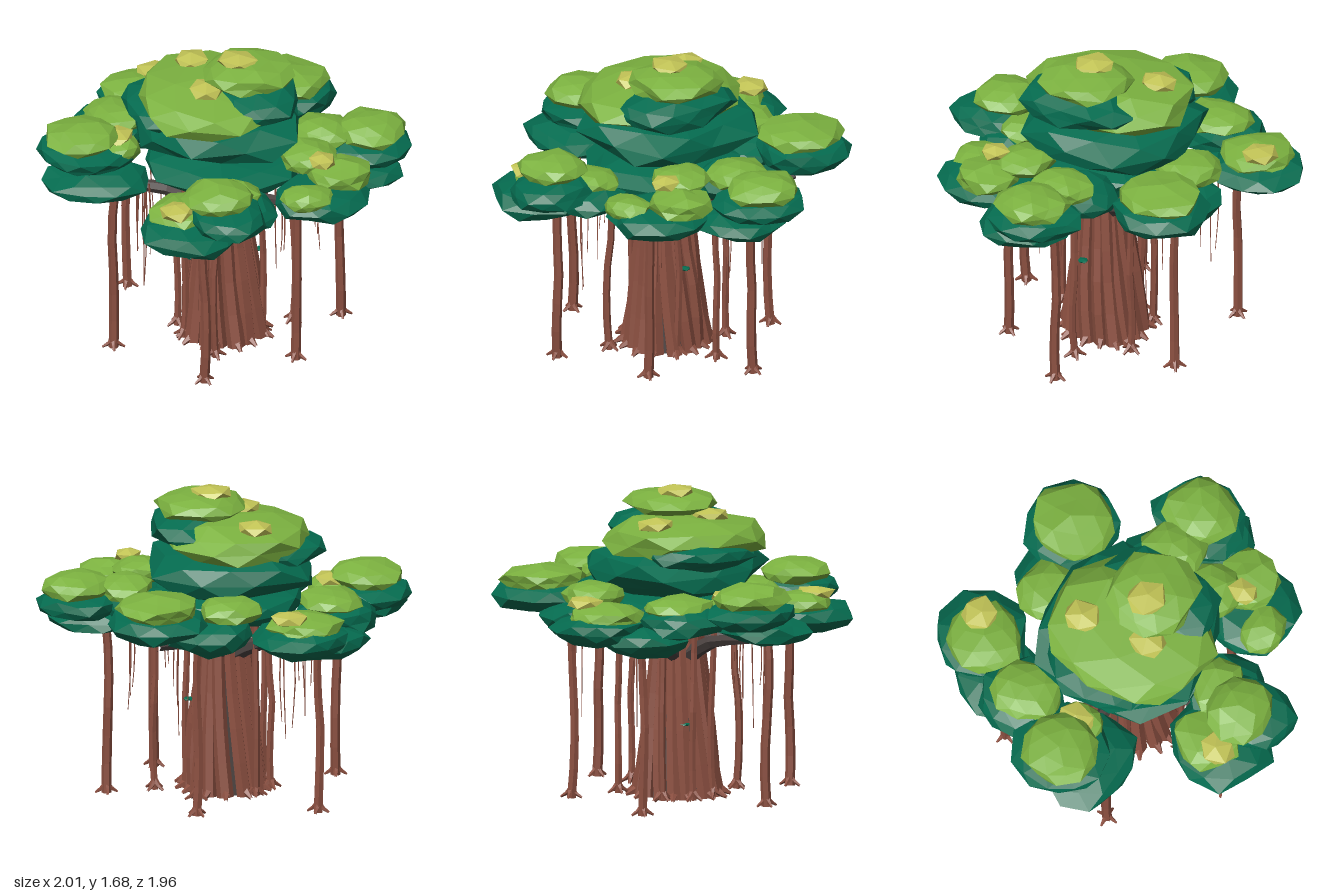
import * as THREE from 'three';
import { mergeGeometries } from 'three/addons/utils/BufferGeometryUtils.js';

const V = (x, y, z) => new THREE.Vector3(x, y, z);

// Seeded random numbers, reset at the start of each build
let seed = 7;
const rnd = () => {
  seed = (seed * 16807) % 2147483647;
  return seed / 2147483647;
};
const jit = (a) => (rnd() * 2 - 1) * a;

// Faceted normals
function facet(g) {
  const f = g.index ? g.toNonIndexed() : g;
  f.computeVertexNormals();
  return f;
}

// Faceted tapering limb through a few points
function limb(points, r0, r1, segs = 5, sides = 6) {
  const g = new THREE.TubeGeometry(new THREE.CatmullRomCurve3(points), segs, 1, sides);
  const p = g.attributes.position, path = g.parameters.path, v = V(0, 0, 0);
  for (let i = 0; i < p.count; i++) {
    const t = Math.floor(i / (sides + 1)) / segs;
    const c = path.getPointAt(t);
    v.fromBufferAttribute(p, i).sub(c).multiplyScalar(r0 + (r1 - r0) * t).add(c);
    p.setXYZ(i, v.x, v.y, v.z);
  }
  return facet(g);
}

// Lumpy flattened ball of leaves, turned so a fan of five faces crowns it
function clump([x, y, z, rx, ry, rz], detail) {
  const g = new THREE.IcosahedronGeometry(1, detail);
  g.rotateX(-1.017 + jit(0.12)).rotateY(rnd() * 6.28);
  const p = g.attributes.position, bumps = new Map();
  for (let i = 0; i < p.count; i++) {
    const key = [p.getX(i), p.getY(i), p.getZ(i)].map((n) => Math.round(n * 100)).join();
    if (!bumps.has(key)) bumps.set(key, 1.02 + jit(0.12));
    const s = bumps.get(key);
    p.setXYZ(i, x + p.getX(i) * s * rx, y + p.getY(i) * s * ry, z + p.getZ(i) * s * rz);
  }
  return facet(g);
}

// x, y, z, then the three radii
const DARK = [
  [-0.03, 1.27, -0.04, 0.47, 0.15, 0.48], [-0.31, 1.36, -0.06, 0.22, 0.08, 0.31],
  [0.17, 1.46, 0.05, 0.24, 0.1, 0.34], [0, 1.05, 0, 0.42, 0.1, 0.42],
  [-0.74, 1.1, 0, 0.26, 0.08, 0.26], [-0.69, 1.0, 0.13, 0.28, 0.08, 0.23],
  [-0.6, 1.07, -0.35, 0.23, 0.09, 0.24], [-0.41, 1.04, -0.73, 0.26, 0.09, 0.25],
  [-0.53, 0.98, -0.54, 0.23, 0.09, 0.24], [0.37, 1.1, -0.64, 0.26, 0.1, 0.25],
  [0.08, 1.02, -0.55, 0.24, 0.1, 0.25], [0.76, 1.07, -0.1, 0.23, 0.08, 0.26],
  [0.7, 0.97, 0, 0.26, 0.08, 0.23], [0.42, 1.07, -0.15, 0.22, 0.09, 0.22],
  [0.5, 1.01, 0.4, 0.25, 0.09, 0.26], [-0.2, 0.95, 0.66, 0.26, 0.1, 0.27],
  [0, 1.07, 0.74, 0.2, 0.08, 0.23], [0.07, 1.0, 0.52, 0.19, 0.08, 0.21],
];
const LIGHT = [
  [-0.07, 1.42, -0.02, 0.41, 0.12, 0.45], [0.13, 1.575, 0.02, 0.24, 0.075, 0.23],
  [-0.06, 1.17, 0.68, 0.18, 0.075, 0.18], [-0.25, 1.03, 0.6, 0.17, 0.07, 0.18],
  [0.03, 1.08, 0.5, 0.16, 0.06, 0.14], [-0.77, 1.19, 0, 0.19, 0.08, 0.19],
  [-0.57, 1.12, 0, 0.13, 0.07, 0.14], [-0.57, 1.14, -0.33, 0.17, 0.07, 0.19],
  [-0.43, 1.11, -0.7, 0.21, 0.07, 0.21], [0.36, 1.19, -0.64, 0.22, 0.07, 0.22],
  [-0.03, 1.15, -0.54, 0.17, 0.07, 0.17], [0.79, 1.16, -0.1, 0.18, 0.075, 0.2],
  [0.53, 1.15, -0.1, 0.15, 0.07, 0.18], [0.61, 1.11, 0.32, 0.17, 0.07, 0.17],
  [0.43, 1.07, 0.53, 0.14, 0.06, 0.12], [0.44, 1.16, 0.2, 0.16, 0.07, 0.15],
];
const TIPS = [
  [0.07, 1.645, 0.02, 0.11, 0.035, 0.11], [-0.17, 1.52, -0.24, 0.1, 0.04, 0.11],
  [-0.1, 1.53, 0.13, 0.095, 0.04, 0.105], [-0.28, 1.085, 0.68, 0.105, 0.04, 0.105],
  [-0.57, 1.18, -0.03, 0.085, 0.035, 0.11], [-0.34, 1.175, -0.78, 0.105, 0.04, 0.105],
  [0.51, 1.2, 0.35, 0.075, 0.04, 0.09],
];
// Ground positions of the hanging roots that reach the soil
const PROPS = [
  [-0.6, 0.19], [-0.13, 0.61], [0.37, 0.36], [0.63, -0.14], [0.15, -0.58], [-0.5, -0.52],
  [-0.06, 0.32], [0.37, -0.08], [0.15, -0.29], [-0.25, -0.06], [-0.22, 0.08], [-0.17, -0.2], [0.2, 0.06],
];

export function createModel() {
  seed = 7;
  const mat = (name, color) => {
    const m = new THREE.MeshStandardMaterial({ color });
    m.name = name;
    return m;
  };
  const bark = mat('red brown bark', 0x8c5041);
  const wood = mat('grey wood', 0x4e4543);
  const darkLeaf = mat('dark leaves', 0x056c50);
  const lightLeaf = mat('light leaves', 0x7cb240);
  const tipLeaf = mat('yellow leaf tips', 0xc2c456);

  const tree = new THREE.Group();
  tree.name = 'tree';
  const add = (name, geos, material) => {
    const mesh = new THREE.Mesh(mergeGeometries(geos), material);
    mesh.name = name;
    tree.add(mesh);
  };

  // Grey heart of the trunk, glimpsed between the strands
  const core = new THREE.CylinderGeometry(0.095, 0.185, 0.9, 10);
  add('trunkCore', [facet(core.translate(0, 0.46, -0.01))], wood);

  // Ring of fused strands that wrap the trunk, with toes on the ground
  const strands = [];
  for (let i = 0; i < 15; i++) {
    const a = (i / 15) * Math.PI * 2 + jit(0.1), twist = 0.3 + jit(0.2);
    const at = (r, y, k) => V(Math.cos(a + twist * k) * r, y, Math.sin(a + twist * k) * r - 0.01);
    const foot = 0.195 + jit(0.02), r = 0.045 + jit(0.006);
    strands.push(limb([at(foot, 0.012, 0), at(0.165 + jit(0.01), 0.3, 0.4),
      at(0.125 + jit(0.01), 0.65, 0.8), at(0.1, 0.94, 1)], r, r * 0.75, 5, 6));
    strands.push(limb([at(foot, 0.05, 0), at(foot + 0.04, 0.03, 0), at(foot + 0.075, 0.012, 0)], 0.03, 0.008, 2, 5));
  }
  add('trunkStrands', strands, bark);

  // Slightly crooked prop roots with splayed feet
  const props = [], feet = [];
  PROPS.forEach(([x, z], i) => {
    const r = i < 6 ? 0.027 : 0.021, w = 0.013;
    props.push(limb([V(x, 0.02, z), V(x + jit(w), 0.25, z + jit(w)), V(x + jit(w), 0.5, z + jit(w)),
      V(x + jit(w), 0.75, z + jit(w)), V(x + jit(w), 0.98, z + jit(w))], r, r * 0.85, 6));
    for (let k = 0; k < 4; k++) {
      const a = k * 1.571 + i, c = Math.cos(a), s = Math.sin(a);
      feet.push(limb([V(x, 0.07, z), V(x + c * 0.03, 0.04, z + s * 0.03),
        V(x + c * 0.06, 0.022, z + s * 0.06)], 0.018, 0.006, 2, 5));
    }
  });
  add('propRoots', props, bark);
  add('propRootFeet', feet, bark);

  // Boughs from the trunk head out to each leaf mass
  const boughs = [[-0.74, 0.05], [-0.52, -0.54], [0.15, -0.62], [0.36, -0.6],
    [0.68, -0.15], [0.4, 0.38], [-0.13, 0.64]].map(([x, z]) =>
    limb([V(x * 0.08, 0.76, z * 0.08), V(x * 0.4, 0.88, z * 0.4), V(x * 0.75, 0.93, z * 0.75), V(x, 0.96, z)], 0.048, 0.02, 5));
  add('boughs', boughs, wood);

  // Thin aerial roots dangling in groups below the boughs
  const threads = [];
  [[-0.45, 0.1], [-0.42, 0.25], [-0.32, -0.42], [0.28, 0.24], [0.46, -0.12], [0.24, -0.5], [-0.12, 0.42]].forEach(([x, z]) => {
    for (let k = 0; k < 3; k++) {
      const px = x + jit(0.05), pz = z + jit(0.06), low = 0.35 + rnd() * 0.3;
      threads.push(limb([V(px, 0.98, pz), V(px + jit(0.01), 0.75, pz + jit(0.01)),
        V(px + jit(0.01), low, pz + jit(0.01))], 0.005, 0.002, 4, 4));
    }
  });
  add('aerialRoots', threads, bark);

  // Leaf masses, and a few sprigs growing on the trunk
  add('darkFoliage', DARK.map((c) => clump(c, 1)), darkLeaf);
  add('lightFoliage', LIGHT.map((c) => clump(c, 1)), lightLeaf);
  add('leafTips', TIPS.map((c) => clump(c, 0)), tipLeaf);
  add('trunkSprigs', [[0.19, 0.5, 0], [-0.17, 0.42, -0.06]].map(([x, y, z]) =>
    clump([x, y, z, 0.03, 0.01, 0.03], 0)), darkLeaf);
  return tree;
}
